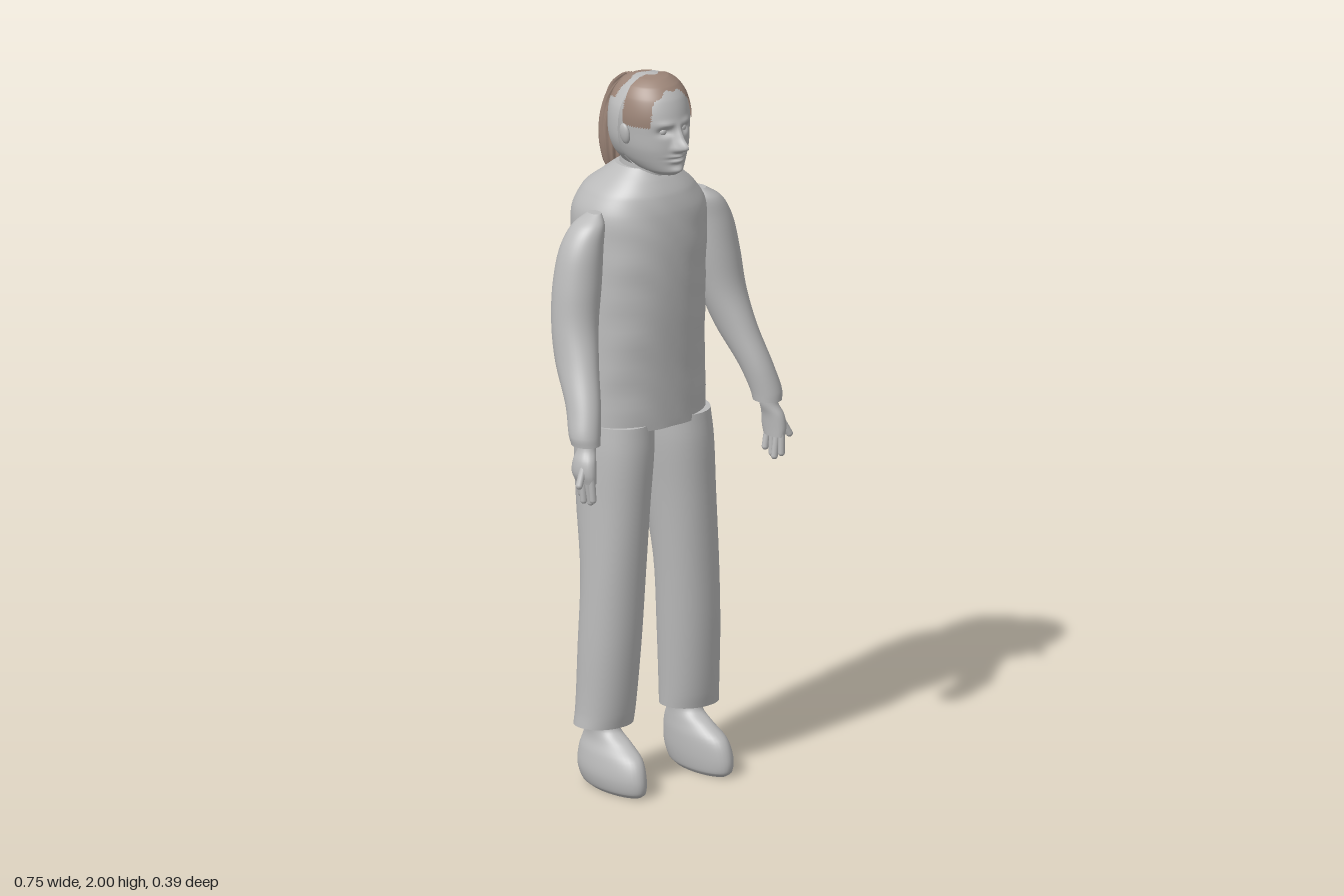
import * as THREE from 'three';

const MID = 0.006; // body mirror plane

// Closed loft through rows [y, xMin, xMax, zMin, zMax], listed bottom to top
function loft(rows, { seg = 40, steps = 5, power = 1, shape = null } = {}) {
  const centre = new THREE.CatmullRomCurve3(rows.map(r => new THREE.Vector3((r[1] + r[2]) / 2, r[0], (r[3] + r[4]) / 2)));
  const radius = new THREE.CatmullRomCurve3(rows.map(r => new THREE.Vector3((r[2] - r[1]) / 2, r[0], (r[4] - r[3]) / 2)));
  const n = (rows.length - 1) * steps, pos = [], index = [];
  for (let i = 0; i <= n; i++) {
    const c = centre.getPoint(i / n), r = radius.getPoint(i / n);
    for (let j = 0; j < seg; j++) {
      const a = j / seg * Math.PI * 2, co = Math.cos(a), si = Math.sin(a);
      const p = new THREE.Vector3(
        c.x + Math.max(r.x, 0.001) * Math.sign(co) * Math.abs(co) ** power, c.y,
        c.z + Math.max(r.z, 0.001) * Math.sign(si) * Math.abs(si) ** power);
      if (shape) shape(p, a, i / n);
      pos.push(p.x, p.y, p.z);
      if (i < n) {
        const k = i * seg + j, m = i * seg + (j + 1) % seg;
        index.push(k, k + seg, m, m, k + seg, m + seg);
      }
    }
  }
  // End caps with their own vertices, so hems stay crisp
  for (const i of [0, n]) {
    const start = pos.length / 3, ring = pos.slice(i * seg * 3, (i + 1) * seg * 3), c = centre.getPoint(i / n);
    pos.push(...ring, c.x, c.y, c.z);
    for (let j = 0; j < seg; j++) {
      const a = start + j, b = start + (j + 1) % seg;
      index.push(start + seg, ...(i === 0 ? [a, b] : [b, a]));
    }
  }
  const g = new THREE.BufferGeometry();
  g.setAttribute('position', new THREE.Float32BufferAttribute(pos, 3));
  g.setIndex(index);
  g.computeVertexNormals();
  return g;
}

// Keep only the triangles whose centre passes the test
function pick(geometry, test) {
  const g = geometry.clone(), p = g.attributes.position, src = geometry.index.array, out = [];
  const v = new THREE.Vector3(), t = new THREE.Vector3();
  for (let i = 0; i < src.length; i += 3) {
    v.set(0, 0, 0);
    for (let k = 0; k < 3; k++) v.add(t.fromBufferAttribute(p, src[i + k]));
    if (test(v.divideScalar(3))) out.push(src[i], src[i + 1], src[i + 2]);
  }
  g.setIndex(out);
  return g;
}

const mirrorRows = rows => rows.map(([y, a, b, c, d]) => [y, 2 * MID - b, 2 * MID - a, c, d]);
const bump = (x, y, cx, cy, sx, sy) => Math.exp(-(((x - cx) / sx) ** 2) - ((y - cy) / sy) ** 2);

export function createModel() {
  const model = new THREE.Group();
  const grey = new THREE.MeshStandardMaterial({ color: 0xbababa });
  const brown = new THREE.MeshStandardMaterial({ color: 0x9c8578 });
  grey.name = 'grey';
  brown.name = 'brown hair';
  grey.side = brown.side = THREE.DoubleSide;
  const add = (name, geometry, material = grey, parent = model) => {
    const m = new THREE.Mesh(geometry, material);
    m.name = name;
    parent.add(m);
    return m;
  };

  // Shirt with soft cloth folds
  add('shirt', loft([
    [1.015, -0.19, 0.20, -0.145, 0.12], [1.2, -0.185, 0.195, -0.16, 0.125],
    [1.4, -0.18, 0.195, -0.178, 0.133], [1.55, -0.175, 0.205, -0.192, 0.13],
    [1.62, -0.168, 0.2, -0.19, 0.122], [1.67, -0.14, 0.165, -0.165, 0.108],
    [1.71, -0.1, 0.115, -0.115, 0.085], [1.74, -0.065, 0.075, -0.075, 0.062],
  ], { seg: 72, steps: 8, power: 0.9, shape: (p, a) => {
    const fold = 0.0022 * Math.sin(p.y * 44 + p.x * 25 + 2 * Math.sin(p.x * 21)) * Math.sin(p.y * 17 + p.x * 13);
    p.z += fold * Math.sign(Math.sin(a)) * Math.min(1, Math.abs(Math.sin(a)) * 2);
  } }));

  // Trousers, shoes, sleeves and hands, made for the right and mirrored
  const legRows = [
    [0.18, -0.228, -0.058, -0.06, 0.085], [0.22, -0.223, -0.056, -0.06, 0.092],
    [0.4, -0.217, -0.046, -0.06, 0.108], [0.6, -0.208, -0.034, -0.062, 0.115],
    [0.8, -0.2, -0.016, -0.098, 0.12], [0.95, -0.195, 0, -0.118, 0.122],
    [1.03, -0.188, 0.003, -0.12, 0.115],
  ];
  const shoeRows = [
    [0, -0.18, -0.105, -0.035, 0.165], [0.012, -0.192, -0.096, -0.06, 0.182],
    [0.05, -0.2, -0.09, -0.08, 0.184], [0.1, -0.192, -0.09, -0.08, 0.163],
    [0.135, -0.178, -0.095, -0.07, 0.11], [0.165, -0.176, -0.098, -0.055, 0.06],
    [0.21, -0.185, -0.095, -0.045, 0.06],
  ];
  const sleeveRows = [
    [1.035, -0.348, -0.272, 0.1, 0.185], [1.06, -0.352, -0.268, 0.092, 0.183],
    [1.13, -0.339, -0.25, 0.06, 0.165], [1.24, -0.322, -0.216, -0.015, 0.122],
    [1.34, -0.313, -0.188, -0.045, 0.09], [1.45, -0.3, -0.168, -0.055, 0.08],
    [1.55, -0.274, -0.16, -0.048, 0.072], [1.605, -0.238, -0.155, -0.032, 0.062],
    [1.635, -0.192, -0.16, -0.008, 0.038],
  ];
  const palmRows = [
    [0.935, -0.342, -0.302, 0.118, 0.195], [0.96, -0.35, -0.3, 0.11, 0.196],
    [0.995, -0.347, -0.296, 0.113, 0.19], [1.025, -0.335, -0.287, 0.12, 0.175],
    [1.06, -0.33, -0.285, 0.115, 0.17],
  ];
  for (const side of [-1, 1]) {
    const name = side < 0 ? 'right' : 'left';
    const rows = r => (side < 0 ? r : mirrorRows(r));
    const limb = (part, r, options) => add(name + part, loft(rows(r), options));
    limb('TrouserLeg', legRows, { power: 0.95 });
    limb('Shoe', shoeRows);
    limb('Sleeve', sleeveRows);
    const hand = new THREE.Group();
    hand.name = name + 'Hand';
    model.add(hand);
    add('palm', loft(rows(palmRows), { seg: 20 }), grey, hand);
    const finger = (part, pts, r) => {
      const [a, b] = pts.map(([x, y, z]) => new THREE.Vector3(side < 0 ? x : 2 * MID - x, y, z));
      const d = b.clone().sub(a);
      const m = add(part, new THREE.CapsuleGeometry(r, d.length(), 4, 10), grey, hand);
      m.position.copy(a).add(b).multiplyScalar(0.5);
      m.quaternion.setFromUnitVectors(new THREE.Vector3(0, 1, 0), d.normalize());
    };
    for (let i = 0; i < 4; i++) {
      const z = 0.126 + i * 0.02, tip = [0.895, 0.88, 0.878, 0.89][i];
      finger('finger', [[-0.325, 0.95, z], [-0.314 - (i % 2) * 0.008, tip, z + 0.002]], 0.0095);
    }
    finger('thumb', [[-0.335, 0.985, 0.165], [-0.36, 0.935, 0.175]], 0.01);
  }

  // Neck and head, with the face pushed out of the front of the loft
  add('neck', loft([
    [1.62, -0.075, 0.085, -0.09, 0.07], [1.7, -0.06, 0.07, -0.072, 0.076],
    [1.75, -0.055, 0.065, -0.07, 0.08], [1.82, -0.055, 0.065, -0.06, 0.08],
  ]));
  const headRows = [
    [1.735, -0.028, 0.038, 0.03, 0.135], [1.748, -0.05, 0.06, -0.02, 0.148],
    [1.775, -0.07, 0.08, -0.06, 0.15], [1.81, -0.083, 0.093, -0.07, 0.152],
    [1.85, -0.089, 0.1, -0.074, 0.15], [1.9, -0.092, 0.103, -0.075, 0.147],
    [1.945, -0.083, 0.094, -0.068, 0.132], [1.975, -0.064, 0.075, -0.045, 0.108],
    [1.992, -0.036, 0.046, -0.01, 0.08], [1.997, -0.008, 0.018, 0.025, 0.05],
  ];
  const face = p => {
    if (p.z < 0.06) return;
    const x = p.x - 0.005, y = p.y, ax = Math.abs(x);
    p.z += 0.04 * bump(x, y, 0, 1.823, 0.013, 0.017)   // nose tip
      + 0.02 * bump(x, y, 0, 1.85, 0.01, 0.024)        // nose bridge
      + 0.01 * bump(ax, y, 0.014, 1.815, 0.008, 0.009) // nostrils
      - 0.014 * bump(ax, y, 0.034, 1.862, 0.018, 0.011) // eye sockets
      + 0.006 * bump(ax, y, 0.034, 1.884, 0.025, 0.009) // brows
      + 0.011 * bump(x, y, 0, 1.793, 0.022, 0.006)     // upper lip
      + 0.01 * bump(x, y, 0, 1.779, 0.02, 0.006)       // lower lip
      - 0.005 * bump(x, y, 0, 1.786, 0.026, 0.003)     // mouth line
      + 0.01 * bump(x, y, 0, 1.752, 0.02, 0.01);       // chin
  };
  add('head', loft(headRows, { seg: 96, steps: 10, shape: face }));
  for (const s of [-1, 1]) {
    const eye = add('eye', new THREE.SphereGeometry(0.012, 16, 10));
    eye.position.set(0.005 + s * 0.034, 1.862, 0.124);
    const ear = add('ear', new THREE.SphereGeometry(1, 16, 12));
    ear.scale.set(0.01, 0.03, 0.019);
    ear.position.set(0.005 + s * 0.1, 1.85, 0.045);
    ear.rotation.z = -s * 0.15;
  }

  // Front hair: a thin shell following the brow
  const hairCap = loft(headRows.map(([y, a, b, c, d]) => [y + 0.003, a - 0.004, b + 0.004, c - 0.004, d + 0.004]), { seg: 96, steps: 10 });
  add('frontHair', pick(hairCap, p => p.y > 1.875 && p.z > 0.037 && p.z < 0.119 + 0.003 * Math.sin(p.x * 150)
    && Math.hypot(p.x - 0.008, p.z - 0.03) > 0.02), brown);

  // Rear half shell of the head, brown over the crown
  const shell = loft([
    [1.755, -0.06, 0.07, -0.07, 0.144], [1.79, -0.093, 0.105, -0.077, 0.151],
    [1.83, -0.11, 0.122, -0.083, 0.157], [1.88, -0.113, 0.126, -0.085, 0.159],
    [1.92, -0.106, 0.118, -0.083, 0.157], [1.95, -0.09, 0.1, -0.074, 0.148],
    [1.977, -0.067, 0.077, -0.053, 0.127], [1.992, -0.038, 0.048, -0.022, 0.096],
    [1.998, -0.006, 0.016, 0.02, 0.05],
  ], { seg: 96, steps: 8 });
  const crown = p => p.y > 1.935 + 0.004 * Math.sin(p.x * 120) && p.z < 0.003 + 0.006 * Math.sin(p.x * 90);
  add('rearHeadShell', pick(shell, p => p.z < 0.037 && !crown(p)));
  add('crownHair', pick(shell, p => p.z < 0.037 && crown(p)), brown);

  // Ponytail with ridged strands
  const strands = (p, a, t) => {
    const k = 0.0035 * Math.sin(a * 13 + t * 4) * Math.min(1, t * 6);
    p.x += Math.cos(a) * k;
    p.z += Math.sin(a) * k;
  };
  add('ponytail', loft([
    [1.668, 0.004, 0.02, -0.128, -0.116], [1.7, -0.016, 0.036, -0.152, -0.095],
    [1.76, -0.031, 0.05, -0.165, -0.085], [1.83, -0.032, 0.05, -0.163, -0.087],
    [1.89, -0.022, 0.04, -0.15, -0.085], [1.935, -0.013, 0.03, -0.128, -0.055],
    [1.965, -0.01, 0.026, -0.092, -0.035], [1.975, -0.004, 0.02, -0.072, -0.04],
  ], { seg: 78, steps: 6, shape: strands }), brown);

  return model;
}
